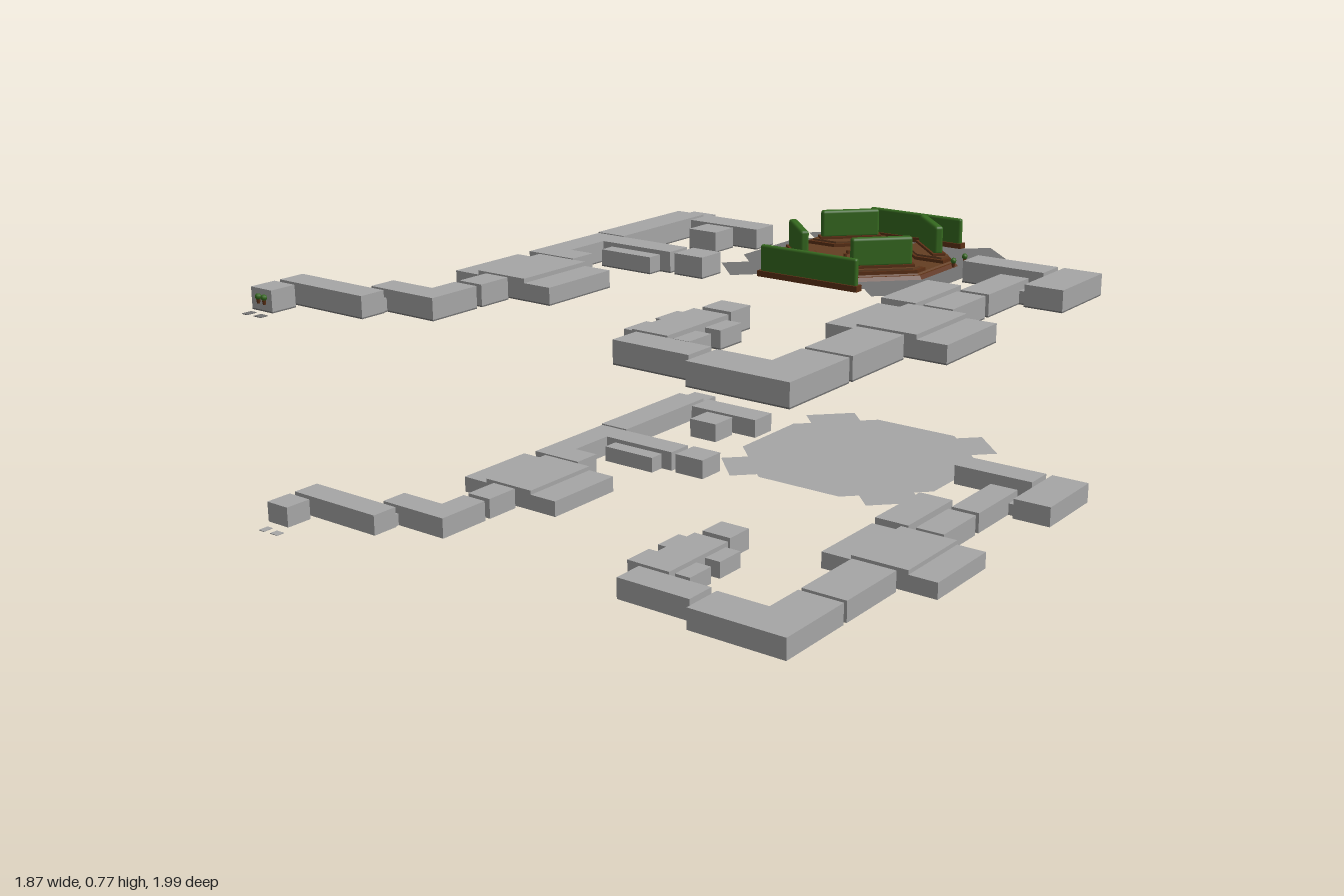
import * as THREE from 'three';
import { RoundedBoxGeometry } from 'three/addons/geometries/RoundedBoxGeometry.js';

const mat = (name, color, side = THREE.FrontSide) => {
  const m = new THREE.MeshStandardMaterial({ color, side });
  m.name = name;
  return m;
};

export function createModel() {
  const wall = mat('light grey', 0xa6a6a6, THREE.DoubleSide);
  const floor = mat('dark grey', 0x737373, THREE.DoubleSide);
  const wood = mat('brown wood', 0x5c3015);
  const deck = mat('brown paving', 0x643e22);
  const leaf = mat('hedge green', 0x35691f);

  const model = new THREE.Group();
  model.name = 'floorPlan';
  const UP = 0.648, H = 0.062, LOW = 0.049, LINK = 0.036;
  const X0 = 0.15, Z0 = -0.6; // plaza centre

  const add = (parent, name, geo, material, x = 0, y = 0, z = 0) => {
    const m = new THREE.Mesh(geo, material);
    m.name = name;
    m.position.set(x, y, z);
    parent.add(m);
    return m;
  };
  // box given by its plan rectangle, bottom and height
  const slab = (parent, name, [x1, x2, z1, z2], y, h, material) =>
    add(parent, name, new THREE.BoxGeometry(x2 - x1, h, z2 - z1), material, (x1 + x2) / 2, y + h / 2, (z1 + z2) / 2);
  // upright prism over a plan outline of [x, z] points
  const prism = (parent, name, pts, y, h, material) => {
    const s = new THREE.Shape(pts.map(([x, z]) => new THREE.Vector2(x, -z)));
    const g = new THREE.ExtrudeGeometry(s, { depth: h, bevelEnabled: false });
    return add(parent, name, g.rotateX(-Math.PI / 2), material, 0, y, 0);
  };

  // plan rectangles: x1, x2, z1, z2
  const rooms = [
    [-0.62, -0.515, -0.645, -0.22], [-0.495, -0.23, -0.645, -0.55], [-0.415, -0.31, -0.53, -0.435],
    [-0.235, -0.13, -0.215, -0.12], [-0.56, -0.38, 0.13, 0.4], [-0.515, -0.43, 0.415, 0.525],
    [-0.94, -0.605, 0.735, 0.82], [-0.94, -0.855, 0.84, 0.925],
    [0.81, 0.93, -0.645, -0.39], [0.525, 0.79, -0.645, -0.55], [0.695, 0.785, -0.465, -0.225],
    [0.56, 0.67, -0.275, -0.02], [0.695, 0.785, -0.205, -0.02], [0.655, 0.835, -0.005, 0.26],
    [0.67, 0.81, 0.28, 0.525], [0.24, 0.48, 0.66, 0.755], [0.215, 0.33, 0.38, 0.645],
    [0.225, 0.32, 0.265, 0.355],
  ];
  const lowRooms = [
    [-0.61, -0.52, -0.72, -0.645], [-0.485, -0.295, -0.125, -0.075],
    [-0.65, -0.56, 0.13, 0.4], [-0.38, -0.285, 0.13, 0.4],
    [0.56, 0.655, -0.005, 0.26], [0.835, 0.925, -0.005, 0.26],
    [0.167, 0.215, 0.39, 0.485], [0.167, 0.215, 0.525, 0.62],
    [0.33, 0.38, 0.39, 0.485], [0.33, 0.38, 0.525, 0.62],
  ];
  const links = [
    [-0.515, -0.495, -0.61, -0.575], [-0.38, -0.345, -0.55, -0.53], [-0.585, -0.55, -0.22, -0.21],
    [-0.255, -0.235, -0.18, -0.15], [-0.49, -0.45, 0.12, 0.13], [-0.49, -0.45, 0.4, 0.415],
    [-0.49, -0.45, 0.525, 0.545], [-0.64, -0.61, 0.72, 0.735], [-0.91, -0.88, 0.82, 0.84],
    [0.79, 0.81, -0.61, -0.575], [0.785, 0.81, -0.44, -0.41], [0.67, 0.695, -0.26, -0.23],
    [0.725, 0.755, -0.225, -0.205], [0.725, 0.755, -0.02, -0.005], [0.725, 0.755, 0.26, 0.28],
    [0.725, 0.755, 0.525, 0.54], [0.48, 0.505, 0.69, 0.72], [0.255, 0.29, 0.645, 0.66],
    [0.255, 0.29, 0.355, 0.38],
  ];
  // bent rooms as outlines
  const bent = [
    [[-0.61, -0.21], [-0.255, -0.21], [-0.255, -0.125], [-0.52, -0.125], [-0.52, 0.03], [-0.435, 0.03], [-0.435, 0.12], [-0.61, 0.12]],
    [[-0.515, 0.545], [-0.43, 0.545], [-0.43, 0.72], [-0.67, 0.72], [-0.67, 0.635], [-0.515, 0.635]],
    [[0.67, 0.54], [0.81, 0.54], [0.81, 0.8], [0.505, 0.8], [0.505, 0.67], [0.67, 0.67]],
  ];

  // flat octagon with four diagonal lugs
  const plaza = (parent, y, material) => {
    const g = new THREE.Group();
    g.name = 'plazaFloor';
    g.position.set(X0, y, Z0);
    parent.add(g);
    const oct = new THREE.CircleGeometry(0.36 / Math.cos(Math.PI / 8), 8, Math.PI / 8);
    add(g, 'octagon', oct.rotateX(-Math.PI / 2), material);
    for (let i = 0; i < 4; i++) {
      const arm = new THREE.Group();
      arm.name = 'lugArm';
      arm.rotation.y = Math.PI / 4 + i * Math.PI / 2;
      g.add(arm);
      add(arm, 'lug', new THREE.PlaneGeometry(0.12, 0.172).rotateX(-Math.PI / 2), material, 0.388, 0, i % 2 ? 0 : -0.038);
    }
  };

  // the two storeys
  for (const y of [0, UP]) {
    const storey = new THREE.Group();
    storey.name = y ? 'upperStorey' : 'lowerStorey';
    model.add(storey);
    const base = y ? floor : wall;
    for (const [list, h, name] of [[rooms, H, 'room'], [lowRooms, LOW, 'sideRoom'], [links, LINK, 'doorway']]) {
      for (const r of list) {
        slab(storey, name, r, y, h, wall);
        if (y) slab(storey, name + 'Floor', r, y - 0.004, 0.004, floor);
      }
    }
    for (const p of bent) {
      prism(storey, 'bentRoom', p, y, H, wall);
      if (y) prism(storey, 'bentRoomFloor', p, y - 0.004, 0.004, floor);
    }
    plaza(storey, y + 0.001, base);
    slab(storey, 'pad', [-0.907, -0.885, 0.957, 0.99], y, 0.002, base);
    slab(storey, 'pad', [-0.86, -0.83, 0.962, 0.988], y, 0.002, base);
  }

  // garden on the upper plaza
  const garden = new THREE.Group();
  garden.name = 'garden';
  garden.position.set(X0, UP, Z0);
  model.add(garden);
  const octagon = (name, top, bottom, y1, y2, material) => {
    const c = Math.cos(Math.PI / 8);
    const g = new THREE.CylinderGeometry(top / c, bottom / c, y2 - y1, 8, 1, false, Math.PI / 8).toNonIndexed();
    g.computeVertexNormals();
    add(garden, name, g, material, 0, (y1 + y2) / 2, 0);
  };
  octagon('deckSkirt', 0.262, 0.275, -0.004, 0.012, wood);
  octagon('deck', 0.25, 0.255, 0.012, 0.016, deck);

  // hedge in a wooden trough, long along x
  const hedge = (parent, len, thick, base, top, trough) => {
    const h = new THREE.Group();
    h.name = 'hedge';
    parent.add(h);
    add(h, 'trough', new THREE.BoxGeometry(len + 0.012, trough, thick + 0.012), wood, 0, base + trough / 2, 0);
    const r = Math.min(0.009, thick * 0.4);
    add(h, 'leaves', new RoundedBoxGeometry(len, top - base - trough / 2, thick, 2, r), leaf, 0, (top + base + trough / 2) / 2, 0);
    return h;
  };

  // four corner beds, each with a hedge
  const bed = [[0.055, -0.25], [0.103, -0.25], [0.25, -0.103], [0.25, -0.055], [0.15, -0.055], [0.055, -0.15]];
  for (let i = 0; i < 4; i++) {
    const corner = new THREE.Group();
    corner.name = 'cornerBed';
    corner.rotation.y = i * Math.PI / 2;
    garden.add(corner);
    prism(corner, 'bedBorder', bed, 0.012, 0.014, wood);
    prism(corner, 'bedTop', bed.map(([x, z]) => [0.15 + (x - 0.15) * 0.88, -0.15 + (z + 0.15) * 0.88]), 0.026, 0.006, deck);
    const h = hedge(corner, 0.19, 0.028, 0.03, 0.124, 0.01);
    h.position.set(0.15, 0, -0.15);
    h.rotation.y = -Math.PI / 4;
  }
  // long hedges at the front and back edges
  const back = hedge(garden, 0.342, 0.018, -0.001, 0.097, 0.018);
  back.position.set(-0.017, 0, -0.345);
  const front = hedge(garden, 0.342, 0.018, -0.001, 0.097, 0.018);
  front.position.set(0.017, 0, 0.345);

  // central basin ringed by small stools
  add(garden, 'basin', new THREE.CylinderGeometry(0.043, 0.043, 0.014, 24), wall, 0, 0.022, 0);
  for (let i = 0; i < 8; i++) {
    const a = i * Math.PI / 4;
    add(garden, 'stool', new THREE.CylinderGeometry(0.006, 0.006, 0.012, 8), wood, 0.062 * Math.cos(a), 0.021, 0.062 * Math.sin(a));
  }

  // small potted plants
  for (const [x, z] of [[0.49, -0.625], [0.49, -0.555], [-0.848, 0.977], [-0.824, 0.977]]) {
    const p = new THREE.Group();
    p.name = 'pottedPlant';
    p.position.set(x, 0.685, z);
    model.add(p);
    add(p, 'pot', new THREE.CylinderGeometry(0.006, 0.004, 0.012, 8), wood, 0, 0.006, 0);
    add(p, 'foliage', new THREE.SphereGeometry(0.009, 8, 6), leaf, 0, 0.02, 0);
  }
  return model;
}
